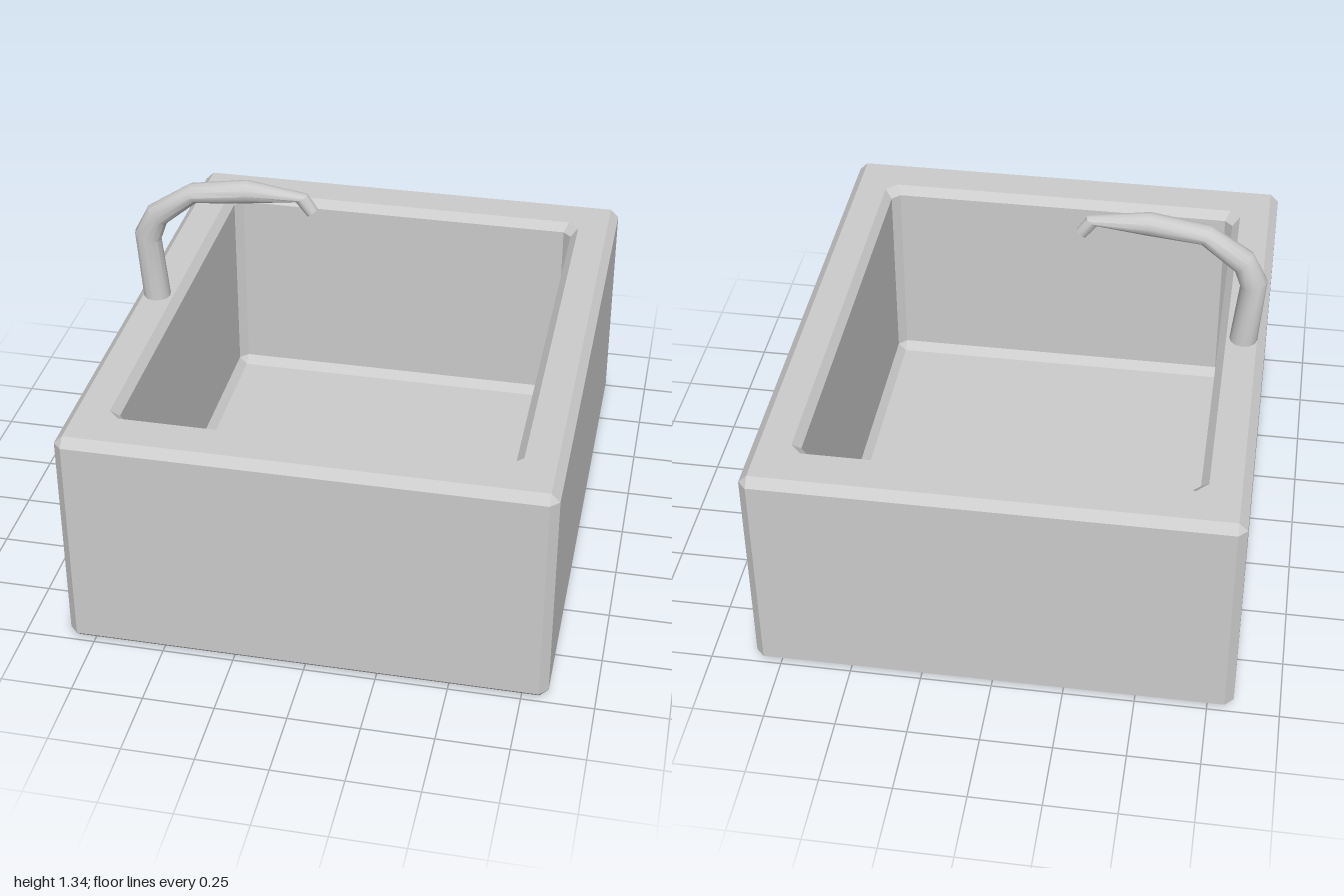
import * as THREE from 'three';
import { toCreasedNormals } from 'three/addons/utils/BufferGeometryUtils.js';

// Skin a list of closed rings (arrays of Vector3 with equal length).
function loft(rings, crease) {
  const pos = [];
  const tri = (a, b, c) => {
    const area = b.clone().sub(a).cross(c.clone().sub(a)).length();
    if (area > 1e-8) for (const p of [a, b, c]) pos.push(p.x, p.y, p.z);
  };
  for (let i = 0; i + 1 < rings.length; i++) {
    const lo = rings[i], hi = rings[i + 1], n = lo.length;
    for (let j = 0; j < n; j++) {
      const k = (j + 1) % n;
      tri(lo[j], hi[j], lo[k]);
      tri(lo[k], hi[j], hi[k]);
    }
  }
  const g = new THREE.BufferGeometry();
  g.setAttribute('position', new THREE.Float32BufferAttribute(pos, 3));
  g.computeVertexNormals();
  return crease ? toCreasedNormals(g, crease) : g;
}

// Rectangle with cut corners, half sizes x and z at height y.
function cutRect(y, x, z, cut) {
  return [
    [x, -z + cut], [x, z - cut], [x - cut, z], [-x + cut, z],
    [-x, z - cut], [-x, -z + cut], [-x + cut, -z], [x - cut, -z],
  ].map(([px, pz]) => new THREE.Vector3(px, y, pz));
}

// Tube ring spanning an outer and an inner point of the bend.
function tubeRing([ox, oy, ix, iy, r], sides = 12) {
  const ring = [];
  for (let j = 0; j < sides; j++) {
    const a = (j / sides) * Math.PI * 2, c = Math.cos(a) / 2;
    ring.push(new THREE.Vector3(
      (ox + ix) / 2 + (ox - ix) * c,
      (oy + iy) / 2 + (oy - iy) * c,
      0.014 - r * Math.sin(a)));
  }
  return ring;
}

export function createModel() {
  const model = new THREE.Group();
  model.name = 'sink';

  // Basin: bevelled outer block, rim, then inner walls and floor
  const basin = new THREE.Mesh(
    loft([
      cutRect(0, 0, 0, 0),
      cutRect(0, 0.81, 0.97, 0),
      cutRect(0.03, 0.84, 1, 0.03),
      cutRect(0.81, 0.84, 1, 0.03),
      cutRect(0.84, 0.81, 0.97, 0),
      cutRect(0.84, 0.7, 0.833, 0.04),
      cutRect(0.81, 0.673, 0.803, 0.03),
      cutRect(0.09, 0.673, 0.803, 0.03),
      cutRect(0.06, 0.645, 0.773, 0),
      cutRect(0.06, 0, 0, 0),
    ]),
    new THREE.MeshStandardMaterial({ color: 0xcccccc, flatShading: true }));
  basin.name = 'basin';
  model.add(basin);

  // Faucet: tapering bent tube with an open spout; outer x y, inner x y, half width
  const bends = [
    [-0.81, 0.83, -0.71, 0.83, 0.05],
    [-0.83, 1.1, -0.735, 1.07, 0.048],
    [-0.775, 1.205, -0.71, 1.14, 0.046],
    [-0.62, 1.305, -0.59, 1.24, 0.044],
    [-0.41, 1.34, -0.405, 1.257, 0.042],
    [-0.19, 1.308, -0.232, 1.28, 0.026],
    [-0.155, 1.255, -0.19, 1.227, 0.023],
  ];
  const faucet = new THREE.Mesh(
    loft(bends.map((b) => tubeRing(b)), 0.6),
    new THREE.MeshStandardMaterial({ color: 0xcccccc, side: THREE.DoubleSide }));
  faucet.name = 'faucet';
  model.add(faucet);

  return model;
}
